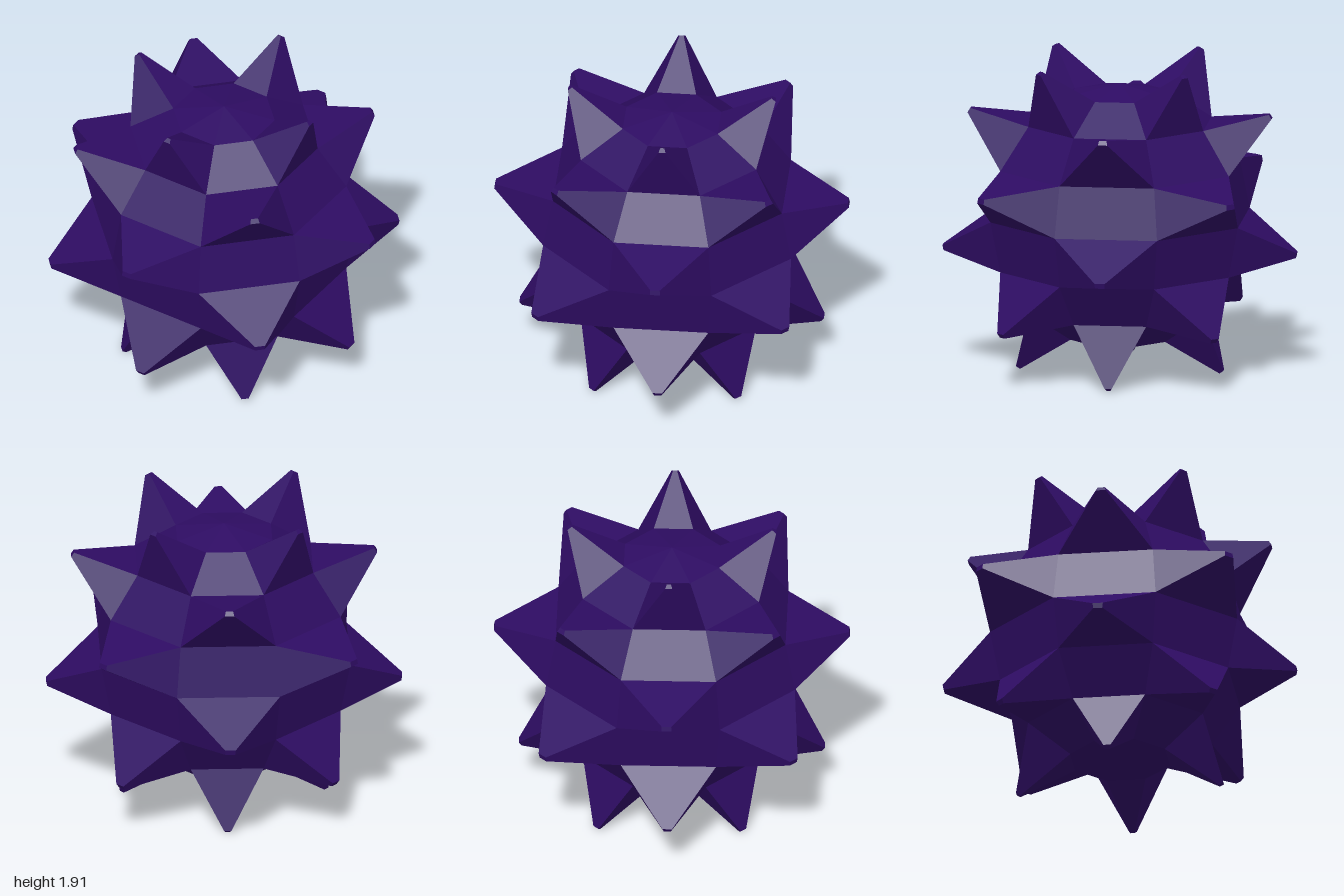
import * as THREE from 'three';

const SEGMENTS = 8, RINGS = 8;
const RADIUS = 0.81, CENTRE_Y = 0.956;
const SPIKE_LENGTH = 0.354, TIP_SCALE = 0.1;

// Point on the ball: ring counts down from the top pole, seg turns from +z to +x
function ballPoint(ring, seg) {
  const polar = (ring / RINGS) * Math.PI;
  const turn = (seg / SEGMENTS) * Math.PI * 2;
  return new THREE.Vector3(
    RADIUS * Math.sin(polar) * Math.sin(turn),
    RADIUS * Math.cos(polar),
    RADIUS * Math.sin(polar) * Math.cos(turn)
  );
}

// Corners run counter-clockwise seen from outside
function addFace(points, corners) {
  for (let i = 1; i < corners.length - 1; i++) points.push(corners[0], corners[i], corners[i + 1]);
}

// Facet pushed out along its normal and shrunk to a small blunt tip
function spikeFaces(base) {
  const centre = new THREE.Vector3();
  base.forEach((p) => centre.addScaledVector(p, 1 / base.length));
  const normal = base[2].clone().sub(base[0]).cross(base[3].clone().sub(base[1])).normalize();
  const tip = base.map((p) => p.clone().sub(centre).multiplyScalar(TIP_SCALE)
    .add(centre).addScaledVector(normal, SPIKE_LENGTH));
  const points = [];
  base.forEach((p, i) => {
    const j = (i + 1) % base.length;
    addFace(points, [p, base[j], tip[j], tip[i]]);
  });
  addFace(points, tip);
  return points;
}

export function createModel() {
  const model = new THREE.Group();
  model.name = 'spikedBall';
  const material = new THREE.MeshStandardMaterial({ color: 0x2e0c63, flatShading: true });

  const addMesh = (name, points) => {
    const geometry = new THREE.BufferGeometry().setFromPoints(points);
    geometry.computeVertexNormals();
    const mesh = new THREE.Mesh(geometry, material);
    mesh.name = name;
    mesh.position.y = CENTRE_Y;
    model.add(mesh);
  };

  // Checkerboard of plain facets and spikes, with a plain cap at each pole
  const body = [];
  for (let ring = 0; ring < RINGS; ring++) {
    for (let seg = 0; seg < SEGMENTS; seg++) {
      const topLeft = ballPoint(ring, seg), topRight = ballPoint(ring, seg + 1);
      const lowLeft = ballPoint(ring + 1, seg), lowRight = ballPoint(ring + 1, seg + 1);
      if (ring === 0) addFace(body, [topLeft, lowLeft, lowRight]);
      else if (ring === RINGS - 1) addFace(body, [topLeft, lowLeft, topRight]);
      else {
        const facet = [topLeft, lowLeft, lowRight, topRight];
        if ((ring + seg) % 2) addMesh('spike', spikeFaces(facet));
        else addFace(body, facet);
      }
    }
  }
  addMesh('body', body);
  return model;
}
